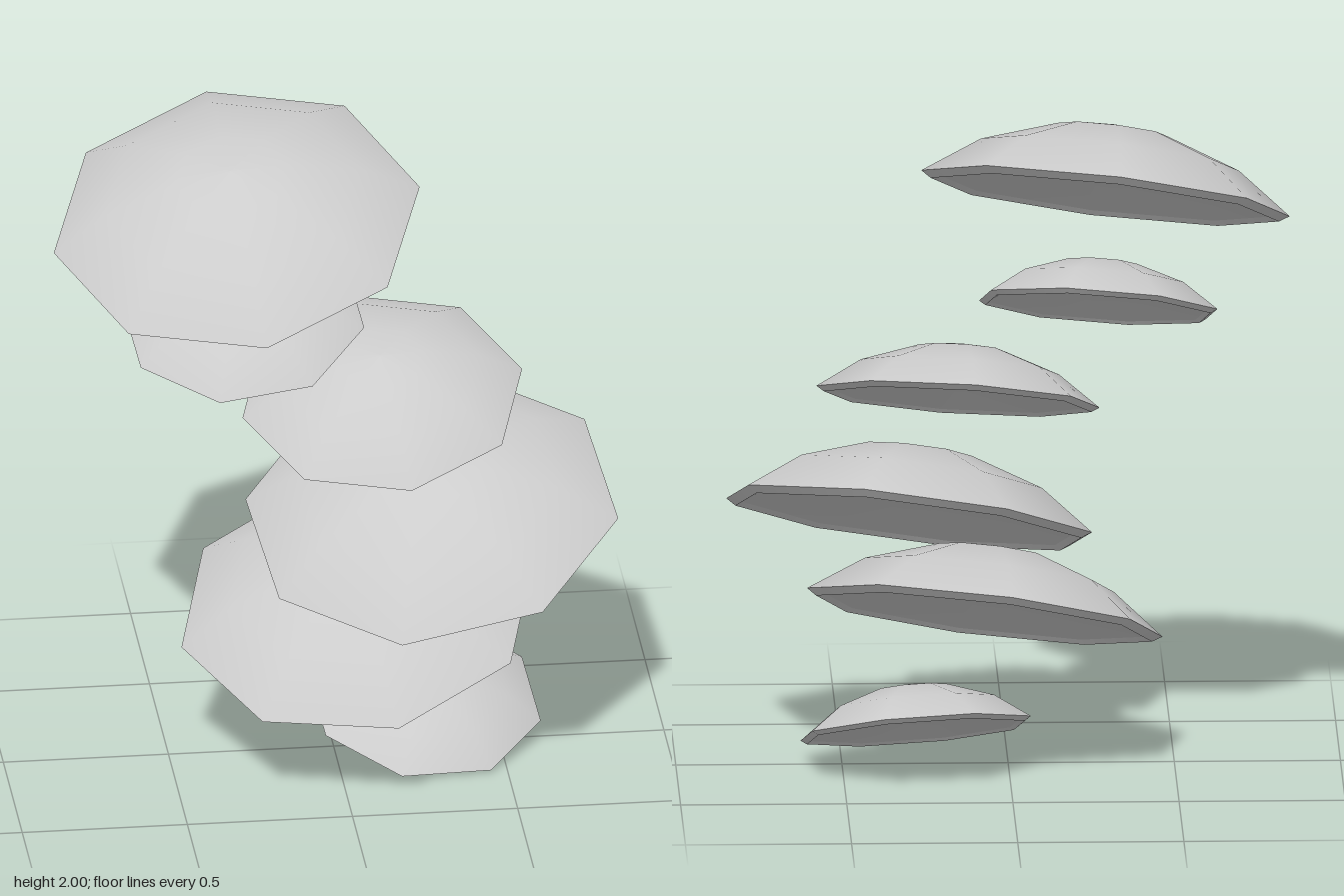
import * as THREE from 'three';

// Each cap: centre, radius, slope of the rim plane along x and z, spin in degrees
const CAPS = [
  { at: [0.28, 0.125, -0.06], r: 0.36, slope: [-0.077, -0.356], spin: 16 },
  { at: [0.07, 0.467, 0.005], r: 0.545, slope: [0.14, -0.355], spin: -6 },
  { at: [0.298, 0.772, -0.005], r: 0.57, slope: [0.14, -0.367], spin: 16.5 },
  { at: [0.152, 1.147, -0.04], r: 0.43, slope: [0.08, -0.345], spin: -5 },
  { at: [-0.27, 1.43, -0.045], r: 0.372, slope: [0.085, -0.38], spin: 17.5 },
  { at: [-0.293, 1.765, -0.003], r: 0.56, slope: [0.135, -0.35], spin: -2 },
];

// Profiles for a cap of radius 1, listed from below to above
const PROFILES = {
  hub: [[0, 0.045], [0.125, 0.045]],
  underside: [[0.125, 0.045], [0.91, -0.012]],
  innerLip: [[0.91, -0.012], [0.945, -0.035]],
  rim: [[0.945, -0.035], [1, 0]],
  dome: [[1, 0], [0.7, 0.21], [0.3, 0.345], [0, 0.375]],
};

export function createModel() {
  const shelfGrey = new THREE.MeshStandardMaterial({ color: 0xcccccc });
  shelfGrey.name = 'shelf grey';

  // Eight-sided turned pieces, shared by all caps
  const pieces = Object.entries(PROFILES).map(([name, pts]) => [
    name,
    new THREE.LatheGeometry(pts.map(([x, y]) => new THREE.Vector2(x, y)), 8),
  ]);

  const model = new THREE.Group();
  model.name = 'shelfFungus';
  const up = new THREE.Vector3(0, 1, 0);

  CAPS.forEach(({ at, r, slope, spin }, i) => {
    const cap = new THREE.Group();
    cap.name = `cap${i + 1}`;
    for (const [name, geometry] of pieces) {
      const mesh = new THREE.Mesh(geometry, shelfGrey);
      mesh.name = name;
      cap.add(mesh);
    }
    // Tilt to the rim plane after spinning about the cap's own axis
    const normal = new THREE.Vector3(-slope[0], 1, -slope[1]).normalize();
    const turn = new THREE.Quaternion().setFromAxisAngle(up, -THREE.MathUtils.degToRad(spin));
    cap.quaternion.setFromUnitVectors(up, normal).multiply(turn);
    cap.position.set(...at);
    cap.scale.setScalar(r);
    model.add(cap);
  });

  return model;
}
